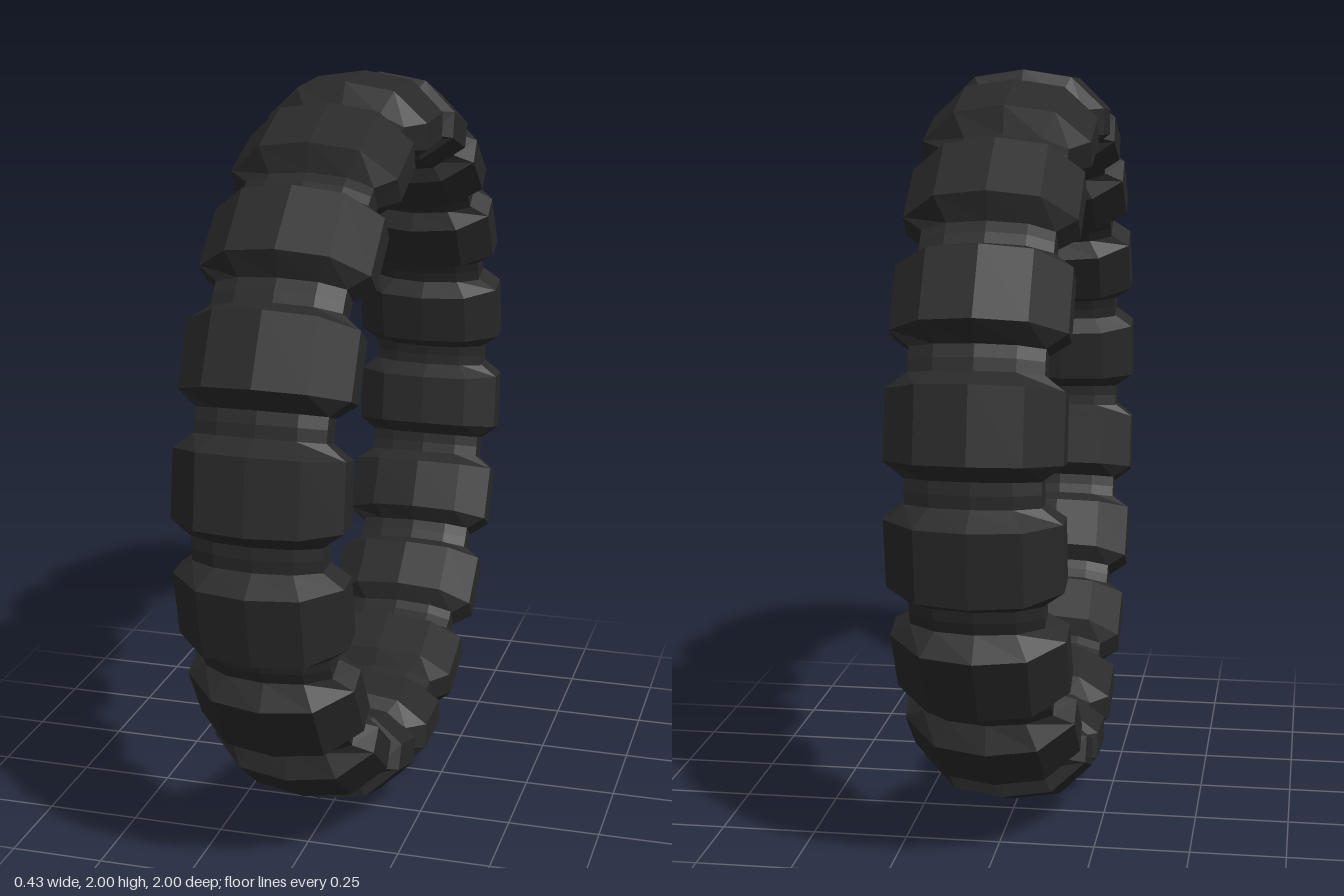
import * as THREE from 'three';

const BLOCKS = 18;
const STEP = (Math.PI * 2) / BLOCKS;
const DEG = Math.PI / 180;
const START = 1.7 * DEG;

// Half cross-sections as [x, radius], from the outer rim to the inner rim
const mirror = half => [...half, ...half.slice(1, -1).reverse().map(([x, r]) => [-x, r])];
const coreSection = mirror([[0, 0.94], [0.1, 0.93], [0.165, 0.9], [0.165, 0.835], [0.1, 0.81], [0, 0.8]]);
const blockSection = mirror([[0, 1.002], [0.13, 0.982], [0.216, 0.9], [0.216, 0.83], [0.13, 0.768], [0, 0.753]]);

// Skin a run of cross-sections placed at angles around the x axis
function loft(stations) {
  const pos = [], index = [];
  const n = stations[0].section.length;
  for (const { section, angle } of stations)
    for (const [x, r] of section) pos.push(x, r * Math.cos(angle), r * Math.sin(angle));
  for (let s = 0; s < stations.length - 1; s++)
    for (let p = 0; p < n; p++) {
      const q = (p + 1) % n;
      const a = s * n + p, b = (s + 1) * n + p, c = (s + 1) * n + q, d = s * n + q;
      index.push(a, b, c, a, c, d);
    }
  const g = new THREE.BufferGeometry();
  g.setAttribute('position', new THREE.Float32BufferAttribute(pos, 3));
  g.setIndex(index);
  const flat = g.toNonIndexed();
  flat.computeVertexNormals();
  return flat;
}

export function createModel() {
  const group = new THREE.Group();
  group.name = 'treadedTire';
  const rubber = new THREE.MeshStandardMaterial({ color: 0x2a2a2a, flatShading: true });
  rubber.name = 'black rubber';

  // Slim ring running through all the blocks
  const rings = [];
  for (let i = 0; i <= BLOCKS * 2; i++)
    rings.push({ section: coreSection, angle: START + (i * STEP) / 2 });
  const core = new THREE.Mesh(loft(rings), rubber);
  core.name = 'coreRing';
  group.add(core);

  // Raised blocks with sloping ends that meet the ring
  const blockGeometry = loft([
    { section: coreSection, angle: -8 * DEG },
    { section: blockSection, angle: -5.5 * DEG },
    { section: blockSection, angle: 5.5 * DEG },
    { section: coreSection, angle: 8 * DEG },
  ]);
  for (let i = 0; i < BLOCKS; i++) {
    const block = new THREE.Mesh(blockGeometry, rubber);
    block.name = `treadBlock${i + 1}`;
    block.rotation.x = START + i * STEP;
    group.add(block);
  }

  group.position.y = 1;
  const root = new THREE.Group();
  root.name = 'tire';
  root.add(group);
  return root;
}
